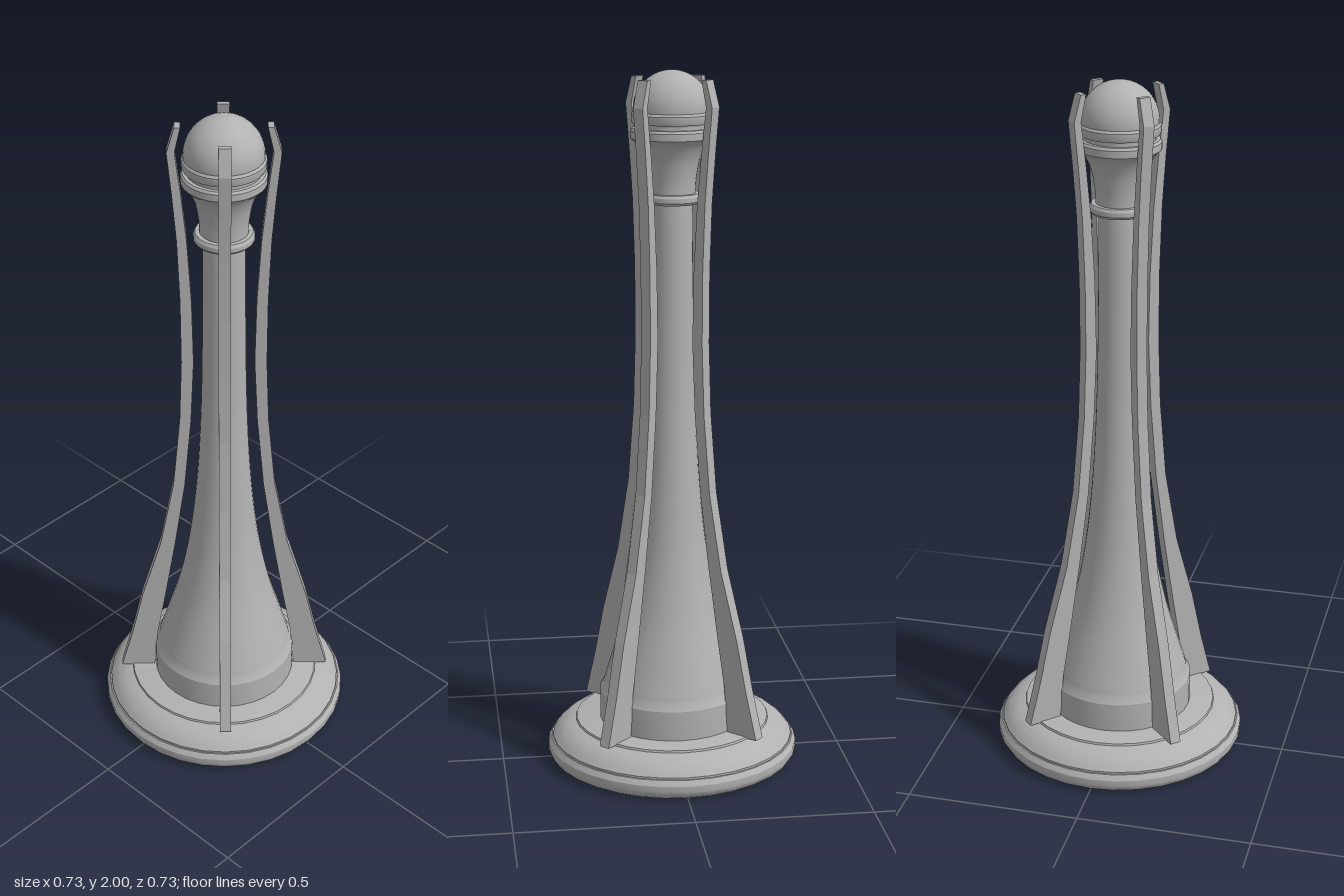
import * as THREE from 'three';
import { toCreasedNormals } from 'three/addons/utils/BufferGeometryUtils.js';

const metal = new THREE.MeshStandardMaterial({ color: 0xb2b2b2 });
metal.name = 'grey metal';

// Turned part from [radius, height] pairs, bottom to top
function turned(name, pairs) {
  const pts = pairs.map(([r, y]) => new THREE.Vector2(r, y));
  const mesh = new THREE.Mesh(toCreasedNormals(new THREE.LatheGeometry(pts, 32), 0.5), metal);
  mesh.name = name;
  return mesh;
}

// Smooth run of profile points through a few control points
function smooth(pairs, n) {
  const curve = new THREE.SplineCurve(pairs.map(([r, y]) => new THREE.Vector2(r, y)));
  return curve.getPoints(n).map((p) => [p.x, p.y]);
}

export function createModel() {
  const model = new THREE.Group();
  model.name = 'column trophy';

  // Stepped, domed foot
  model.add(turned('base', [
    [0, 0], [0.343, 0], [0.358, 0.01], [0.366, 0.025], [0.366, 0.045], [0.356, 0.06], [0.352, 0.06], [0.352, 0.066],
    ...smooth([[0.348, 0.07], [0.335, 0.085], [0.313, 0.101], [0.284, 0.112]], 8),
    [0.282, 0.118], [0, 0.118],
  ]));

  // Drum and flared shaft
  model.add(turned('shaft', [
    [0.212, 0.115], [0.212, 0.205], [0.2, 0.225],
    ...smooth([[0.198, 0.235], [0.172, 0.32], [0.135, 0.45], [0.102, 0.62], [0.08, 0.82], [0.067, 1.05], [0.061, 1.3], [0.058, 1.64]], 28),
  ]));

  // Collar around the neck
  model.add(turned('collar', [
    [0.057, 1.635], [0.078, 1.635], [0.083, 1.642], [0.083, 1.655], [0.078, 1.663], [0.06, 1.663],
  ]));

  // Flaring cup with two rims and a groove between them
  model.add(turned('cup', [
    ...smooth([[0.066, 1.66], [0.068, 1.7], [0.078, 1.755], [0.096, 1.795], [0.11, 1.81]], 12),
    [0.115, 1.815], [0.115, 1.835], [0.11, 1.842], [0.1, 1.842], [0.1, 1.856],
    [0.11, 1.856], [0.113, 1.862], [0.113, 1.88], [0.108, 1.887], [0, 1.887],
  ]));

  // Ball on top
  const ball = new THREE.Mesh(new THREE.SphereGeometry(0.108, 32, 20), metal);
  ball.name = 'ball';
  ball.position.y = 1.892;
  model.add(ball);

  // Four curved arms: [height, inner radius, outer radius]
  const sections = [
    [0.115, 0.215, 0.316], [0.25, 0.203, 0.28], [0.4, 0.177, 0.246], [0.6, 0.145, 0.188], [0.82, 0.114, 0.147],
    [1.05, 0.094, 0.126], [1.25, 0.085, 0.119], [1.45, 0.089, 0.12], [1.64, 0.1, 0.127],
    [1.78, 0.114, 0.138], [1.905, 0.129, 0.15], [1.978, 0.113, 0.129],
  ];
  const width = 0.033;
  const outline = [
    ...sections.map(([y, , r]) => new THREE.Vector2(r, y)),
    ...sections.map(([y, r]) => new THREE.Vector2(r, y)).reverse(),
  ];
  const armGeometry = new THREE.ExtrudeGeometry(new THREE.Shape(outline), { depth: width, bevelEnabled: false });
  armGeometry.translate(0, 0, -width / 2);
  for (let i = 0; i < 4; i++) {
    const arm = new THREE.Mesh(armGeometry, metal);
    arm.name = 'arm';
    arm.rotation.y = Math.PI / 4 + (i * Math.PI) / 2;
    model.add(arm);
  }
  return model;
}
